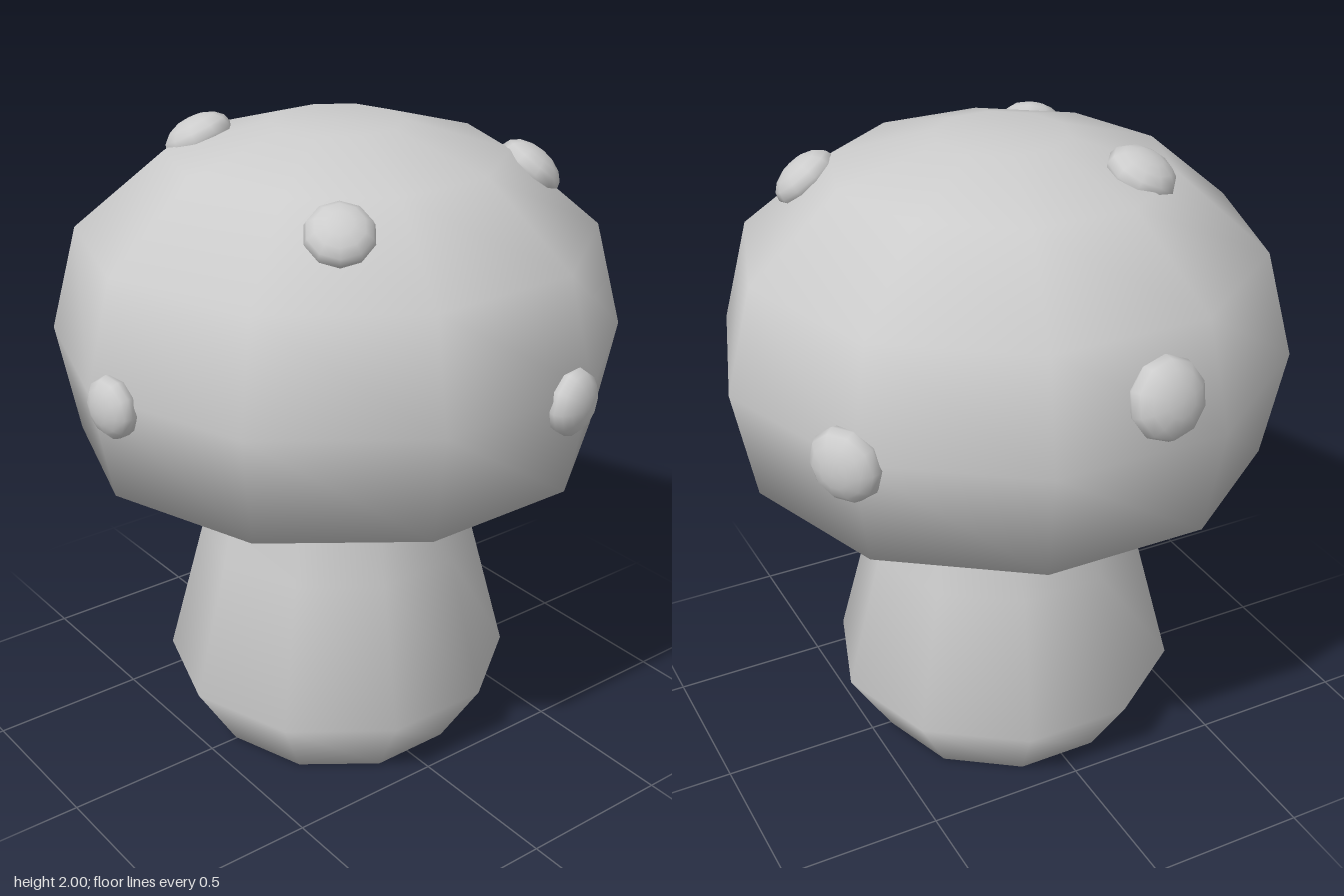
import * as THREE from 'three';

const SIDES = 10;

// Smooth ten-sided turned solid from [radius, height] pairs, bottom to top
function turned(name, profile, material) {
  const points = profile.map(([r, y]) => new THREE.Vector2(r, y));
  const mesh = new THREE.Mesh(new THREE.LatheGeometry(points, SIDES), material);
  mesh.name = name;
  mesh.position.set(-0.005, 0, -0.015);
  return mesh;
}

export function createModel() {
  const group = new THREE.Group();
  group.name = 'mushroom';
  const grey = new THREE.MeshStandardMaterial({ color: 0xcccccc });
  grey.name = 'light grey';

  // Stem, flared near the foot
  group.add(turned('stem', [
    [0, 0], [0.418, 0], [0.554, 0.22], [0.436, 0.67], [0.375, 1.02], [0.36, 1.1],
  ], grey));

  // Domed cap with a flat underside and flat crown
  group.add(turned('cap', [
    [0, 1.02], [0.805, 1.02], [0.87, 1.36], [0.785, 1.68],
    [0.51, 1.91], [0.2, 2], [0, 2],
  ], grey));

  // Flattened spots lying on the cap: x, y, z, radius
  const spots = [
    [-0.31, 1.93, 0.27, 0.107],
    [0.46, 1.84, 0.33, 0.1],
    [0.305, 1.845, -0.5, 0.105],
    [0.075, 1.34, 0.825, 0.093],
    [0.81, 1.335, -0.22, 0.1],
    [-0.8, 1.5, 0.07, 0.12],
    [-0.475, 1.34, -0.72, 0.112],
  ];
  const up = new THREE.Vector3(0, 1, 0);
  const spotGeometry = new THREE.SphereGeometry(1, SIDES, 8);
  for (const [x, y, z, r] of spots) {
    const spot = new THREE.Mesh(spotGeometry, grey);
    spot.name = 'spot';
    spot.position.set(x, y, z);
    spot.scale.set(r, r * 0.6, r);
    const outward = new THREE.Vector3(x, 1.5 * (y - 1.36), z).normalize();
    spot.quaternion.setFromUnitVectors(up, outward);
    group.add(spot);
  }
  return group;
}
